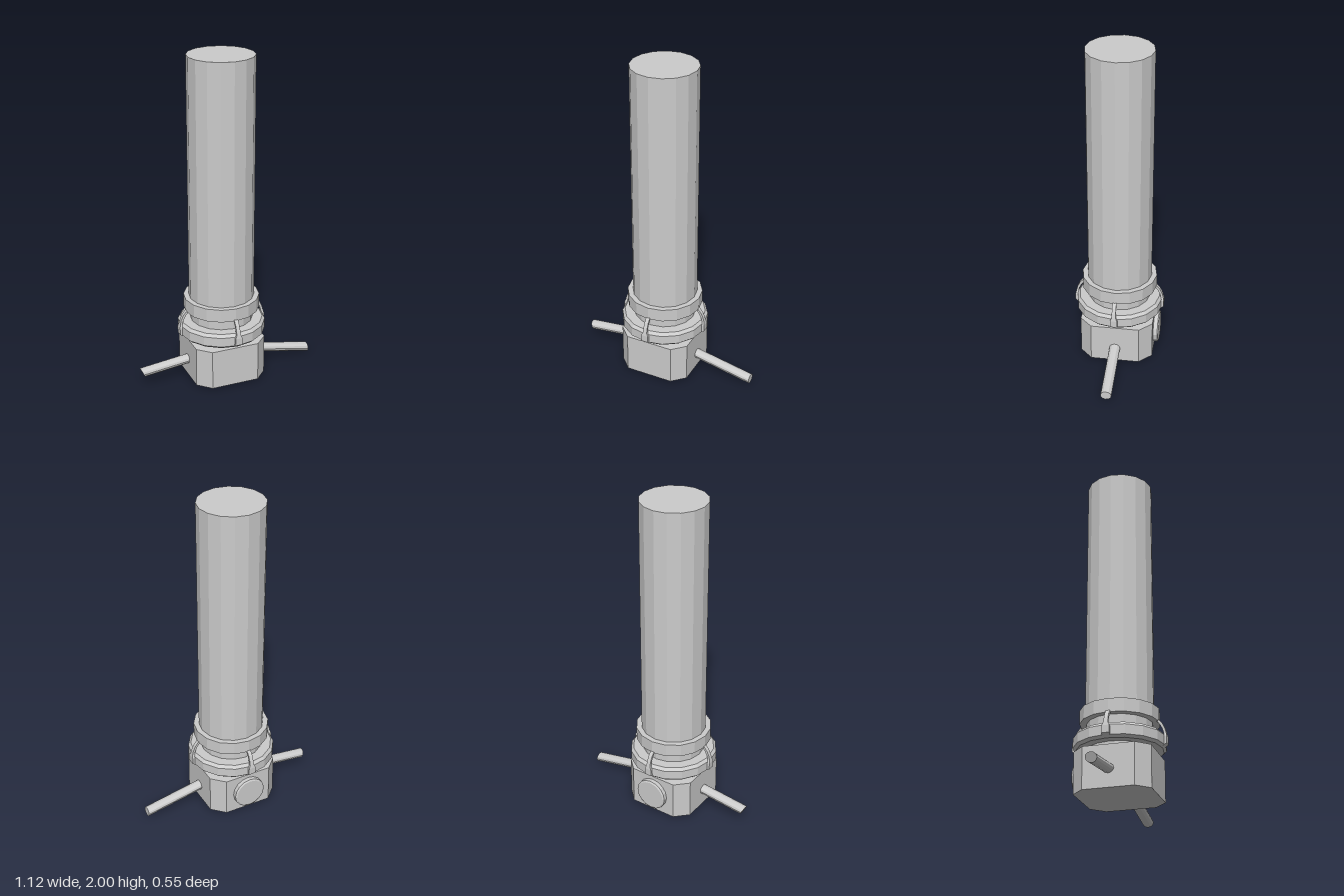
import * as THREE from 'three';

const CX = -0.031, CZ = -0.002; // axis of the column
const material = new THREE.MeshStandardMaterial({ color: 0xcccccc, flatShading: true });

function part(name, geometry, x = CX, y = 0, z = CZ) {
  const mesh = new THREE.Mesh(geometry, material);
  mesh.name = name;
  mesh.position.set(x, y, z);
  return mesh;
}

// Closed 16-sided turned part from [radius, y] pairs, bottom to top
function turned(profile) {
  const pts = profile.map(([r, y]) => new THREE.Vector2(r, y));
  pts.unshift(new THREE.Vector2(0, profile[0][1]));
  pts.push(new THREE.Vector2(0, profile[profile.length - 1][1]));
  return new THREE.LatheGeometry(pts, 16);
}

// Square block with cut vertical corners
function blockGeometry(half, cut, height) {
  const a = half, b = half - cut;
  const shape = new THREE.Shape([
    [a, -b], [a, b], [b, a], [-b, a], [-a, b], [-a, -b], [-b, -a], [b, -a],
  ].map(([x, y]) => new THREE.Vector2(x, y)));
  const g = new THREE.ExtrudeGeometry(shape, { depth: height, bevelEnabled: false });
  return g.rotateX(-Math.PI / 2);
}

// Oval rod running from x0 to x1, sheared so its axis drops; skew slants the outer end
function rodGeometry(x0, y0, x1, y1, skew) {
  const g = new THREE.CylinderGeometry(1, 1, 1, 12);
  g.rotateZ(x1 > x0 ? -Math.PI / 2 : Math.PI / 2);
  const p = g.attributes.position;
  const dir = Math.sign(x1 - x0);
  for (let i = 0; i < p.count; i++) {
    const t = p.getX(i) * dir + 0.5;
    const v = p.getY(i);
    const x = x0 + (x1 - x0) * t + skew * v * t;
    const y = y0 + (y1 - y0) * (x - x0) / (x1 - x0) + v * 0.028;
    p.setXYZ(i, x, y, p.getZ(i) * 0.033);
  }
  g.computeVertexNormals();
  return g;
}

// Curved clip strip: rows of [outer radius, outer y, inner radius, inner y, half width]
function clipGeometry() {
  const rows = [
    [0.257, 0.288, 0.245, 0.296, 0.022],
    [0.277, 0.302, 0.262, 0.306, 0.022],
    [0.277, 0.345, 0.262, 0.343, 0.022],
    [0.273, 0.365, 0.259, 0.362, 0.013],
    [0.266, 0.392, 0.252, 0.388, 0.012],
    [0.252, 0.422, 0.238, 0.416, 0.012],
    [0.232, 0.446, 0.222, 0.436, 0.012],
    [0.217, 0.455, 0.212, 0.444, 0.012],
  ];
  const pos = [], index = [];
  for (const [ro, yo, ri, yi, w] of rows) {
    pos.push(-w, yo, ro, w, yo, ro, w, yi, ri, -w, yi, ri);
  }
  for (let i = 0; i < rows.length - 1; i++) {
    for (let k = 0; k < 4; k++) {
      const a = i * 4 + k, b = i * 4 + (k + 1) % 4;
      index.push(a, b, b + 4, a, b + 4, a + 4);
    }
  }
  const e = (rows.length - 1) * 4;
  index.push(0, 2, 1, 0, 3, 2, e, e + 1, e + 2, e, e + 2, e + 3);
  const g = new THREE.BufferGeometry();
  g.setAttribute('position', new THREE.Float32BufferAttribute(pos, 3));
  g.setIndex(index);
  g.computeVertexNormals();
  return g;
}

export function createModel() {
  const group = new THREE.Group();
  group.name = 'column';

  // Column stack
  group.add(part('tube', turned([[0.198, 0.5], [0.198, 2]])));
  group.add(part('collar', turned([[0.23, 0.44], [0.23, 0.52]])));
  group.add(part('neck', turned([[0.19, 0.36], [0.19, 0.45]])));
  group.add(part('lowerNeck', turned([[0.198, 0.25], [0.198, 0.29]])));
  group.add(part('clampRing', turned([
    [0.25, 0.28], [0.266, 0.295], [0.266, 0.352], [0.25, 0.37],
  ])));

  // Base block with round cover on the back
  group.add(part('baseBlock', blockGeometry(0.223, 0.075, 0.245), CX, 0.01));
  const cover = part('backCover', turned([
    [0.1, -0.01], [0.1, 0.025], [0.09, 0.031],
  ]), CX, 0.134, CZ - 0.223);
  cover.rotation.x = -Math.PI / 2;
  group.add(cover);

  // Side rods
  group.add(part('leftRod', rodGeometry(0.1, 0.122, 0.558, 0.03, 0), 0));
  group.add(part('rightRod', rodGeometry(-0.16, 0.129, -0.548, 0.084, -0.013), 0));

  // Four spring clips
  const clip = clipGeometry();
  for (let i = 0; i < 4; i++) {
    const mesh = part('clip', clip);
    mesh.rotation.y = i * Math.PI / 2;
    group.add(mesh);
  }
  return group;
}
